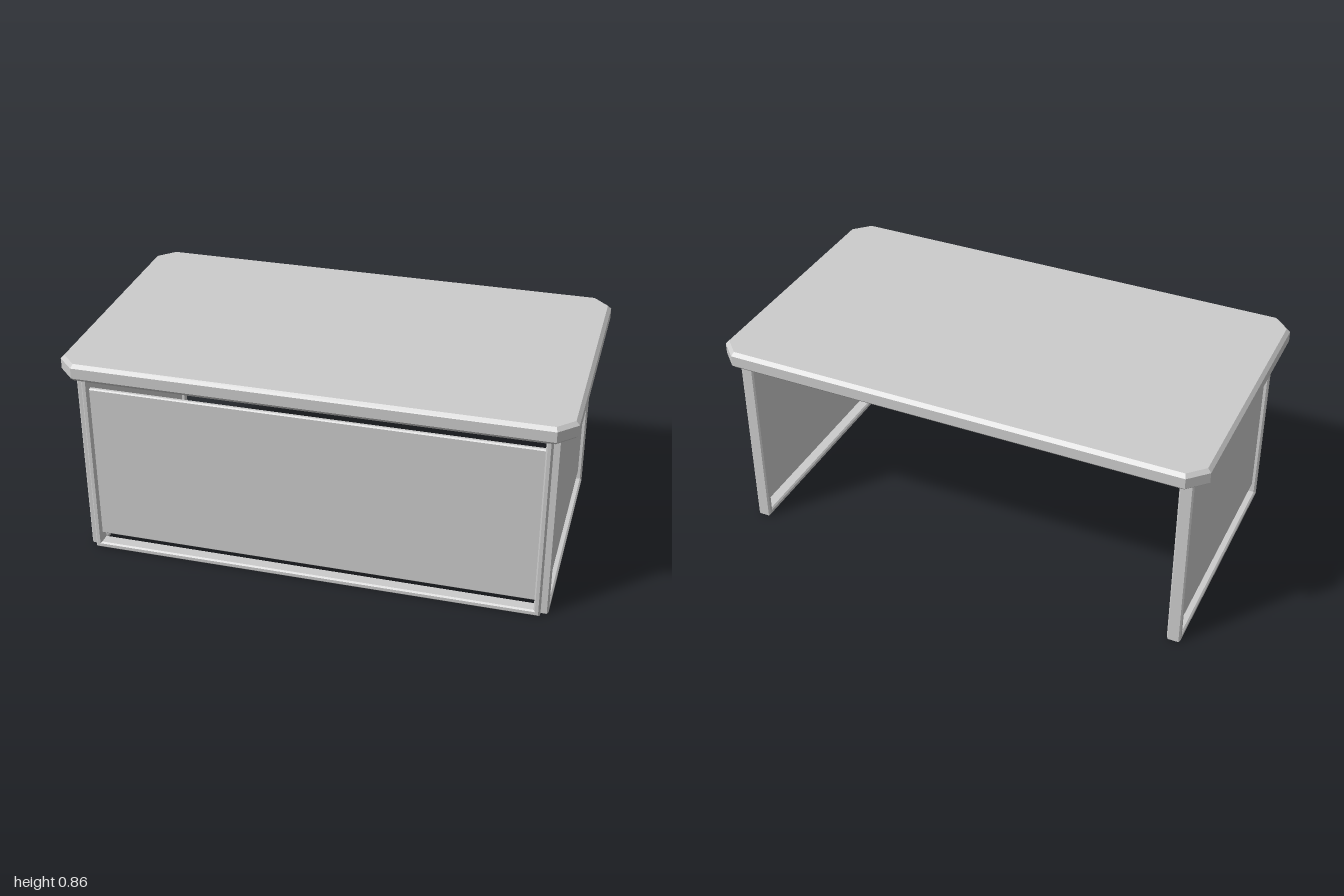
import * as THREE from 'three';

const material = new THREE.MeshStandardMaterial({ color: 0xcccccc, flatShading: true });

// Rectangle, optionally with cut corners, centred on x and running from y0 to y1
function outline(Type, halfW, y0, y1, cut = 0) {
  const pts = cut
    ? [[-halfW + cut, y0], [halfW - cut, y0], [halfW, y0 + cut], [halfW, y1 - cut],
       [halfW - cut, y1], [-halfW + cut, y1], [-halfW, y1 - cut], [-halfW, y0 + cut]]
    : [[-halfW, y0], [halfW, y0], [halfW, y1], [-halfW, y1]];
  return new Type(pts.map(([x, y]) => new THREE.Vector2(x, y)));
}

// Slab of the given total depth with chamfered edges, centred on z
function chamferedSlab(shape, depth, bevel) {
  const geometry = new THREE.ExtrudeGeometry(shape, {
    depth: depth - 2 * bevel, bevelEnabled: true, bevelSegments: 1,
    bevelSize: bevel, bevelThickness: bevel, bevelOffset: -bevel,
  });
  return geometry.translate(0, 0, bevel - depth / 2);
}

function part(name, geometry) {
  const mesh = new THREE.Mesh(geometry, material);
  mesh.name = name;
  return mesh;
}

// Open frame holding a thin panel that leaves a gap above and below
function framedPanel(name, halfW) {
  const group = new THREE.Group();
  group.name = name;
  const frame = outline(THREE.Shape, halfW, 0, 0.788);
  frame.holes.push(outline(THREE.Path, halfW - 0.025, 0.025, 0.765));
  group.add(part(name + 'Frame', chamferedSlab(frame, 0.055, 0.006)));
  const panel = outline(THREE.Shape, halfW - 0.02, 0.06, 0.73);
  group.add(part(name + 'Panel', chamferedSlab(panel, 0.02, 0.005)));
  return group;
}

export function createModel() {
  const desk = new THREE.Group();
  desk.name = 'desk';

  // Table top with cut corners and chamfered rims
  const top = part('tableTop', chamferedSlab(outline(THREE.Shape, 1, -0.57, 0.57, 0.07), 0.071, 0.014));
  top.rotation.x = -Math.PI / 2;
  top.position.y = 0.8225;
  desk.add(top);

  // Front screen
  const front = framedPanel('front', 0.914);
  front.position.z = 0.4995;
  desk.add(front);

  // Side supports
  for (const [name, side] of [['leftSide', 1], ['rightSide', -1]]) {
    const support = framedPanel(name, 0.5);
    support.rotation.y = side * Math.PI / 2;
    support.position.x = side * 0.9165;
    desk.add(support);
  }
  return desk;
}
